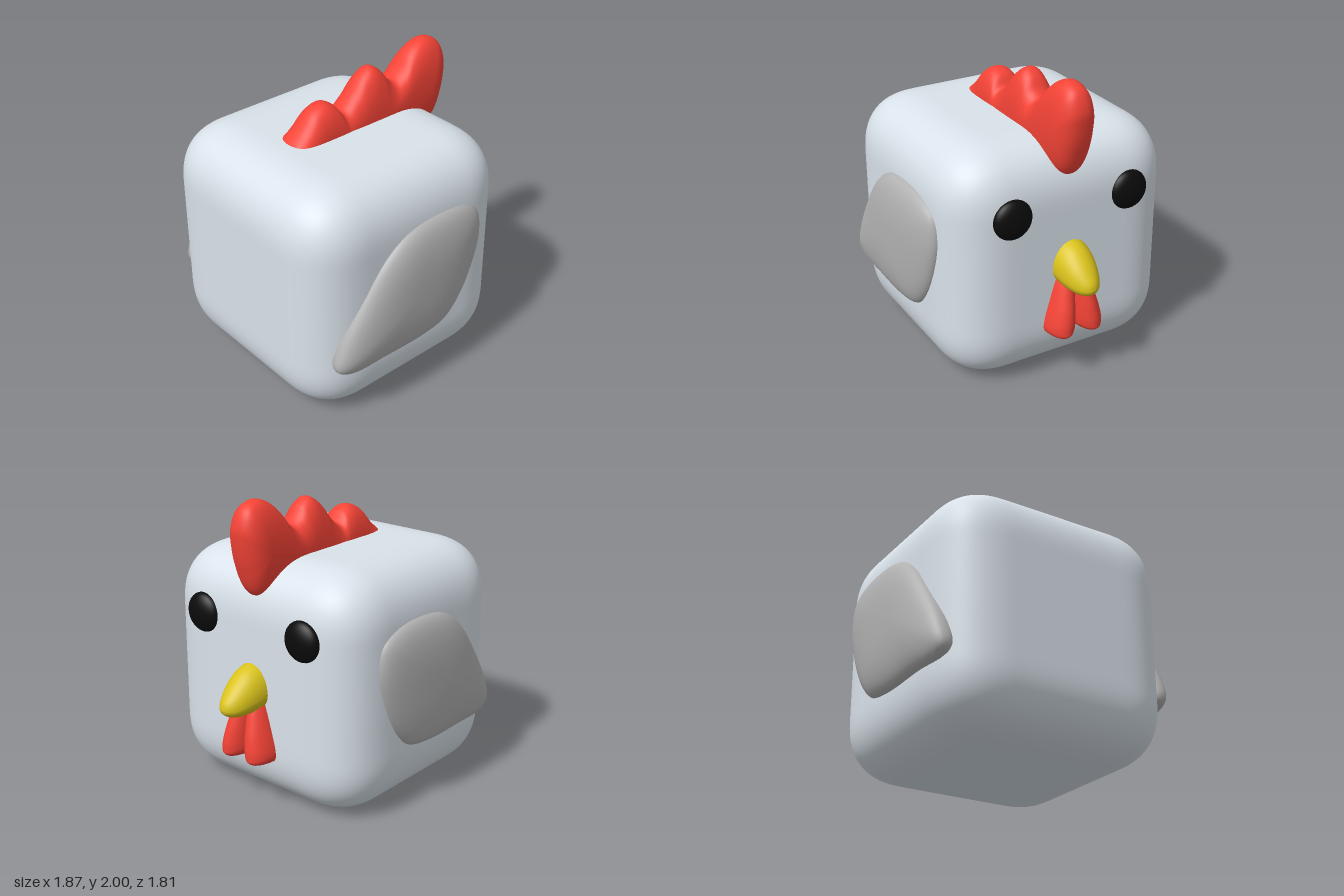
import * as THREE from 'three';
import { mergeVertices } from 'three/addons/utils/BufferGeometryUtils.js';

const COLORS = { body: 0xd9e2ea, wing: 0xb2b2b2, red: 0xf44336, beak: 0xdac31c, eye: 0x0b0b0b };

function part(name, geometry, color) {
  const mesh = new THREE.Mesh(geometry, new THREE.MeshStandardMaterial({ color }));
  mesh.name = name;
  return mesh;
}

// Smooth curve through a few triples
function smooth(points, n, closed = false) {
  const curve = new THREE.CatmullRomCurve3(points.map((p) => new THREE.Vector3(p[0], p[1], p[2] ?? 0)), closed);
  const out = curve.getPoints(n);
  if (closed) out.pop();
  return out;
}

// Skin over closed rings of equal length, smooth all round
function loft(rings) {
  const n = rings[0].length;
  const index = [];
  for (let i = 0; i < rings.length - 1; i++) {
    for (let j = 0; j < n; j++) {
      const k = (j + 1) % n;
      const a = i * n + j, b = i * n + k, c = b + n, d = a + n;
      index.push(a, b, c, a, c, d);
    }
  }
  const geo = new THREE.BufferGeometry().setFromPoints(rings.flat());
  geo.setIndex(index);
  geo.computeVertexNormals();
  return geo;
}

// Puffy shape: an outline in xy (counter-clockwise) shrinking to its spine as it swells in z
function pillow(outline, spineOf, depth, power) {
  const rings = [];
  const steps = 28;
  for (let i = 0; i <= steps; i++) {
    const a = -Math.PI / 2 + (Math.PI * i) / steps;
    const s = Math.pow(Math.max(0, Math.cos(a)), 2 / power);
    const z = depth * Math.sign(a) * Math.pow(Math.abs(Math.sin(a)), 2 / power);
    rings.push(outline.map((p) => {
      const c = spineOf(p);
      return new THREE.Vector3(c.x + (p.x - c.x) * s, c.y + (p.y - c.y) * s, z);
    }));
  }
  return loft(rings);
}

// Cube with broad, soft edges
function softCube(half, r, power) {
  let geo = new THREE.BoxGeometry(half * 2, half * 2, half * 2, 40, 40, 40);
  geo.deleteAttribute('uv');
  geo.deleteAttribute('normal');
  geo = mergeVertices(geo);
  const pos = geo.attributes.position;
  for (let i = 0; i < pos.count; i++) {
    const p = [pos.getX(i), pos.getY(i), pos.getZ(i)];
    const q = p.map((v) => Math.max(0, Math.abs(v) - (half - r)));
    const len = Math.pow(q.reduce((t, v) => t + Math.pow(v, power), 0), 1 / power);
    const out = p.map((v, k) => Math.sign(v) * (Math.min(Math.abs(v), half - r) + (q[k] * r) / len));
    pos.setXYZ(i, ...out);
  }
  geo.computeVertexNormals();
  return geo;
}

function wingGeometry() {
  const outline = smooth([
    [-0.8, 0.47], [-0.72, 0.41], [-0.45, 0.396], [-0.1, 0.396], [0.1, 0.44], [0.25, 0.6], [0.36, 0.85],
    [0.39, 1.03], [0.36, 1.17], [0.25, 1.245], [0, 1.275], [-0.25, 1.24], [-0.42, 1.13], [-0.6, 0.9], [-0.76, 0.63],
  ], 90, true);
  const centre = new THREE.Vector3(-0.2, 0.83, 0);
  return pillow(outline, () => centre, 0.13, 2.5);
}

function combGeometry() {
  const outline = smooth([
    [-0.53, 1.57], [-0.42, 1.69], [-0.33, 1.785], [-0.24, 1.815], [-0.17, 1.785], [-0.11, 1.718], [-0.02, 1.79],
    [0.07, 1.895], [0.15, 1.938], [0.22, 1.9], [0.28, 1.82], [0.33, 1.79], [0.39, 1.83], [0.47, 1.93],
    [0.55, 1.985], [0.63, 2], [0.72, 1.96], [0.768, 1.85], [0.765, 1.75], [0.73, 1.58], [0.65, 1.41],
    [0.5, 1.36], [0.1, 1.42], [-0.42, 1.5],
  ].reverse(), 200, true);
  const spineOf = (p) => {
    const x = THREE.MathUtils.clamp(p.x * 0.85, -0.42, 0.6);
    return new THREE.Vector3(x, 1.56 + 0.2 * Math.max(0, x), 0);
  };
  return pillow(outline, spineOf, 0.135, 2.3);
}

// Egg-shaped sections along x, drooping to a blunt tip; stations are x, top, bottom
function beakGeometry() {
  const stations = smooth([
    [0.6, 0.965, 0.665], [0.68, 0.957, 0.655], [0.75, 0.93, 0.648], [0.82, 0.875, 0.65],
    [0.88, 0.812, 0.663], [0.92, 0.758, 0.69], [0.93, 0.718, 0.716],
  ], 30);
  return loft(stations.map(({ x, y: top, z: bottom }) => {
    const u = THREE.MathUtils.clamp((x - 0.62) / 0.31, 0, 1);
    const w = 0.14 * Math.sqrt(1 - u * u);
    const mid = bottom + 0.4 * (top - bottom);
    return Array.from({ length: 36 }, (_, j) => {
      const a = (j / 36) * Math.PI * 2;
      const c = Math.cos(a);
      return new THREE.Vector3(x, mid + c * (c > 0 ? top - mid : mid - bottom), w * Math.sin(a));
    });
  }));
}

// Hanging lobe; stations are y, outer z, inner z
function wattleGeometry() {
  const stations = smooth([
    [0.318, 0.112, 0.108], [0.322, 0.145, 0.07], [0.34, 0.183, 0.03], [0.37, 0.199, 0.005], [0.42, 0.197, -0.004],
    [0.55, 0.163, -0.006], [0.69, 0.12, -0.006], [0.74, 0.1, 0],
  ], 32);
  return loft(stations.map(({ x: y, y: outer, z: inner }) => {
    const mid = (outer + inner) / 2, w = (outer - inner) / 2;
    const reach = 0.16 * Math.min(1, Math.sqrt(w / 0.09)) - 0.045 * Math.max(0, (y - 0.42) / 0.27);
    return Array.from({ length: 36 }, (_, j) => {
      const a = (j / 36) * Math.PI * 2;
      return new THREE.Vector3(0.66 + reach * Math.sin(a), y, mid + w * Math.cos(a));
    });
  }));
}

export function createModel() {
  const model = new THREE.Group();
  model.name = 'cubeChicken';

  const body = part('body', softCube(0.803, 0.42, 2.5), COLORS.body);
  body.position.set(-0.132, 0.808, 0);
  model.add(body, part('comb', combGeometry(), COLORS.red), part('beak', beakGeometry(), COLORS.beak));

  // Paired parts
  const wingGeo = wingGeometry();
  const wattleGeo = wattleGeometry();
  const eyeGeo = new THREE.SphereGeometry(0.132, 40, 28);
  for (const side of [1, -1]) {
    const label = side > 0 ? 'A' : 'B';

    const wing = part('wing' + label, wingGeo, COLORS.wing);
    wing.position.z = side * 0.777;

    const eye = part('eye' + label, eyeGeo, COLORS.eye);
    eye.scale.x = 0.5;
    eye.position.set(0.66, 1.203, side * 0.42);

    const wattle = part('wattle' + label, wattleGeo, COLORS.red);
    wattle.scale.z = side;

    model.add(wing, eye, wattle);
  }
  return model;
}
